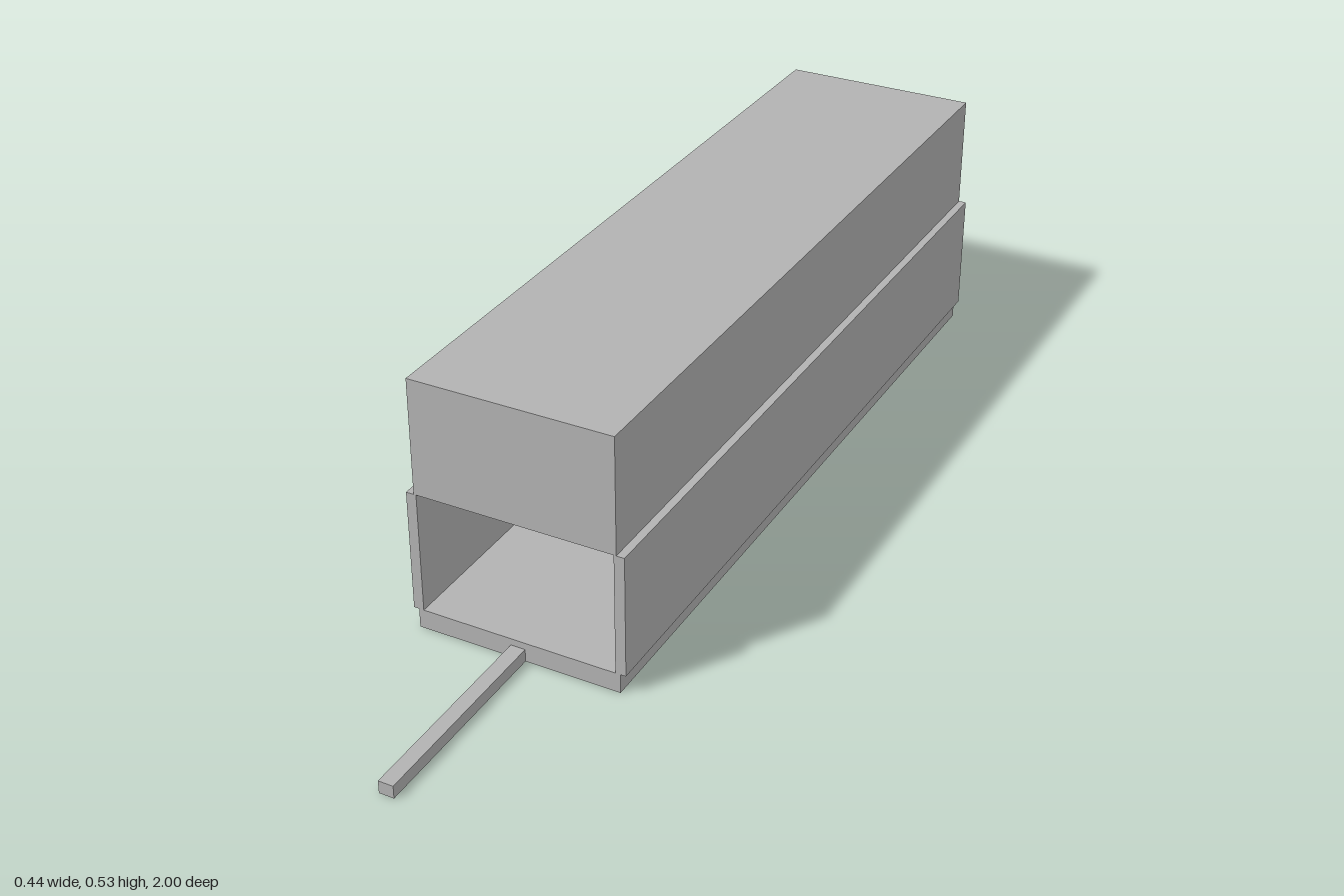
import * as THREE from 'three';

export function createModel() {
  const group = new THREE.Group();
  const grey = new THREE.MeshStandardMaterial({ color: 0xb2b2b2 });
  grey.name = 'grey';

  // Box given by its minimum and maximum on each axis
  const box = (name, [x0, x1], [y0, y1], [z0, z1]) => {
    const mesh = new THREE.Mesh(new THREE.BoxGeometry(x1 - x0, y1 - y0, z1 - z0), grey);
    mesh.position.set((x0 + x1) / 2, (y0 + y1) / 2, (z0 + z1) / 2);
    mesh.name = name;
    group.add(mesh);
  };

  const length = [-1, 0.58];
  const opening = [0.04, 0.29];

  // Base and solid upper block
  box('base', [-0.21, 0.21], [0, 0.04], length);
  box('upperBlock', [-0.205, 0.205], [0.29, 0.527], length);

  // Side walls and closed back around the open-fronted chamber
  box('leftWall', [0.2, 0.221], opening, length);
  box('rightWall', [-0.221, -0.2], opening, length);
  box('backWall', [-0.2, 0.2], opening, [-1, -0.98]);

  // Thin bar reaching forward from the base
  box('frontBar', [-0.015, 0.015], [0, 0.026], [0.58, 1]);

  return group;
}
